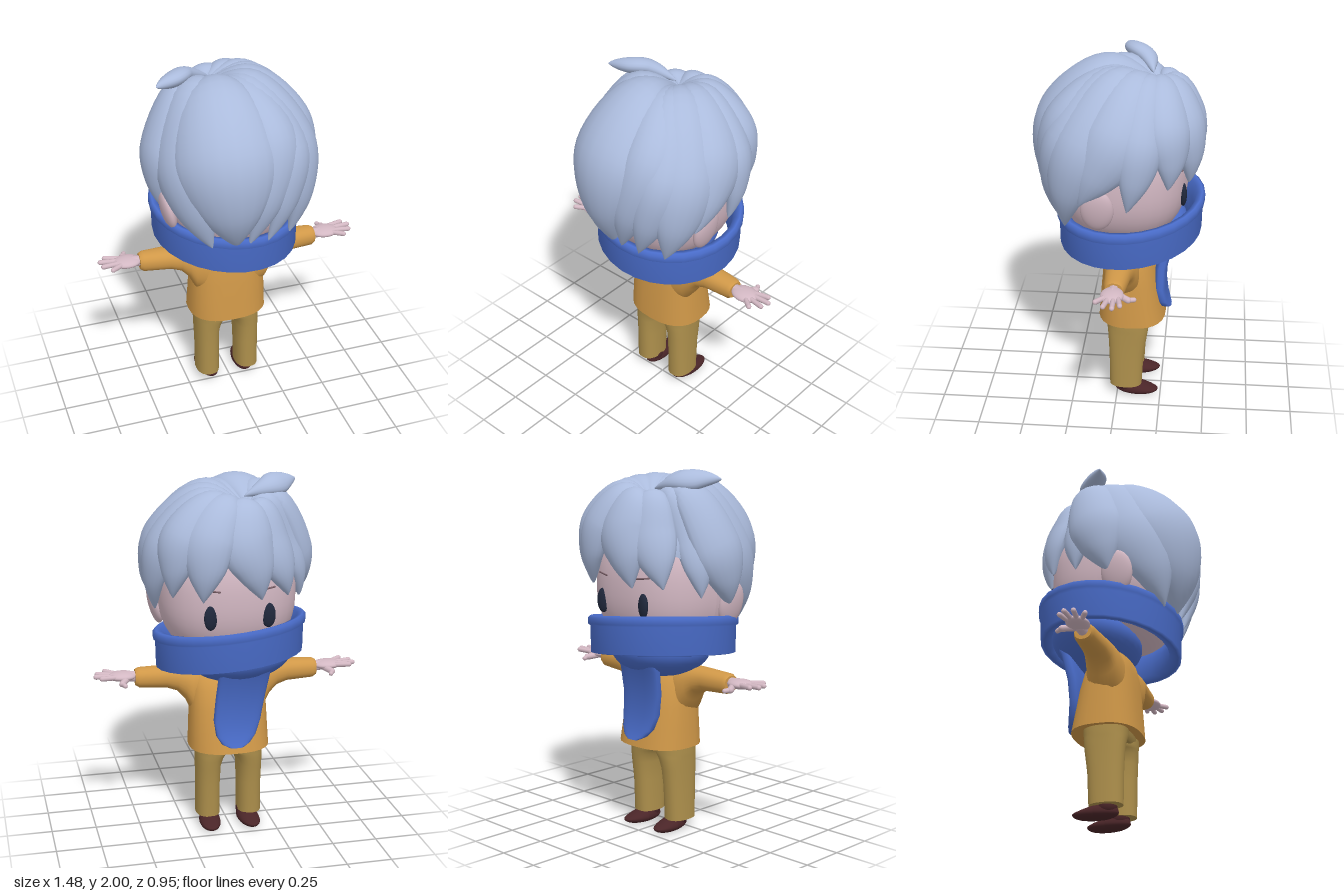
import * as THREE from 'three';

const V = (a) => new THREE.Vector3(...a);
const mat = (color) => new THREE.MeshStandardMaterial({ color, side: THREE.DoubleSide });
const HAIR = mat(0xabbbdc), SKIN = mat(0xd3b8c3), SCARF = mat(0x4a6dcb), SHIRT = mat(0xd09848);
const PANTS = mat(0xae904c), SHOE = mat(0x4a2528), EYE = mat(0x20283c), BROW = mat(0x7a6068);

function add(parent, name, geometry, material) {
  const m = new THREE.Mesh(geometry, material);
  m.name = name;
  parent.add(m);
  return m;
}

// Skin a surface over a list of equal-sized rings, with optional end caps.
function loft(rings, caps = true) {
  const n = rings[0].length, pos = [], idx = [];
  rings.forEach((r) => r.forEach((p) => pos.push(p.x, p.y, p.z)));
  for (let i = 0; i < rings.length - 1; i++)
    for (let j = 0; j < n; j++) {
      const a = i * n + j, b = i * n + ((j + 1) % n);
      idx.push(a, b, a + n, b, b + n, a + n);
    }
  if (caps)
    [rings[0], rings[rings.length - 1]].forEach((r, end) => {
      const base = pos.length / 3;
      const c = r.reduce((s, p) => s.add(p), new THREE.Vector3()).divideScalar(n);
      r.forEach((p) => pos.push(p.x, p.y, p.z));
      pos.push(c.x, c.y, c.z);
      for (let j = 0; j < n; j++) {
        const k = (j + 1) % n;
        idx.push(base + n, base + (end ? j : k), base + (end ? k : j));
      }
    });
  const g = new THREE.BufferGeometry();
  g.setAttribute('position', new THREE.Float32BufferAttribute(pos, 3));
  g.setIndex(idx);
  g.computeVertexNormals();
  return g;
}

// Rounded-square ring around c spanned by half-axes u and v.
function ring(c, u, v, power = 1, n = 28) {
  const s = (x) => Math.sign(x) * Math.abs(x) ** power;
  return Array.from({ length: n }, (_, j) => {
    const a = (j / n) * Math.PI * 2;
    return V(c).addScaledVector(V(u), s(Math.cos(a))).addScaledVector(V(v), s(Math.sin(a)));
  });
}
const flat = (x, y, z, rx, rz, power) => ring([x, y, z], [rx, 0, 0], [0, 0, -rz], power);

function ball(parent, name, p, r, material) {
  const m = add(parent, name, new THREE.SphereGeometry(1, 28, 20), material);
  m.position.set(...p);
  m.scale.set(...r);
  return m;
}

function rod(parent, name, a, b, r, material) {
  const d = V(b).sub(V(a));
  const m = add(parent, name, new THREE.CapsuleGeometry(r, d.length(), 4, 10), material);
  m.position.copy(V(a)).addScaledVector(d, 0.5);
  m.quaternion.setFromUnitVectors(new THREE.Vector3(0, 1, 0), d.normalize());
}

// Leaf-shaped lock following a path and bending around the skull.
function lock(points, width, thick) {
  const curve = new THREE.CatmullRomCurve3(points);
  const centre = new THREE.Vector3(0, 1.5, 0), rings = [];
  for (let i = 0; i <= 28; i++) {
    const t = 0.01 + 0.985 * (i / 28), p = curve.getPoint(t), T = curve.getTangent(t);
    const N = p.clone().sub(centre);
    N.addScaledVector(T, -N.dot(T)).normalize();
    const S = N.clone().cross(T), f = Math.sin(Math.PI * t ** 1.08);
    rings.push(Array.from({ length: 20 }, (_, j) => {
      const a = (j / 20) * Math.PI * 2, s = width * f * Math.cos(a);
      return p.clone().addScaledVector(S, s)
        .addScaledVector(N, thick * f ** 0.65 * Math.sin(a) - s * s);
    }));
  }
  return loft(rings);
}

function buildHead(g) {
  // Slightly squared skull
  const skull = new THREE.SphereGeometry(1, 40, 28), p = skull.attributes.position;
  for (let i = 0; i < p.count; i++) {
    const v = new THREE.Vector3().fromBufferAttribute(p, i);
    const d = (Math.abs(v.x) ** 2.4 + Math.abs(v.y) ** 2.4 + Math.abs(v.z) ** 2.4) ** (1 / 2.4);
    p.setXYZ(i, (v.x / d) * 0.375, (v.y / d) * 0.38, (v.z / d) * 0.355);
  }
  skull.computeVertexNormals();
  add(g, 'face', skull, SKIN).position.set(0, 1.38, -0.025);
  for (const s of [-1, 1]) {
    ball(g, 'ear', [s * 0.375, 1.29, 0.085], [0.038, 0.125, 0.088], SKIN).rotation.z = -s * 0.2;
    ball(g, 'eye', [s * 0.155, 1.3, -0.356], [0.038, 0.067, 0.02], EYE).rotation.y = s * 0.2;
    rod(g, 'eyebrow', [s * 0.11, 1.44, -0.369], [s * 0.19, 1.448, -0.347], 0.005, BROW);
  }
}

function buildHair(g) {
  const cap = add(g, 'hairCap', new THREE.SphereGeometry(1, 36, 20, 0, Math.PI * 2, 0, 0.58 * Math.PI), HAIR);
  cap.scale.set(0.395, 0.38, 0.4);
  cap.rotation.x = 0.5;
  cap.position.set(0, 1.53, 0);
  // Each lock rises from the crown, passes its bulge and swells outward before its tip.
  const crown = V([-0.07, 1.85, -0.21]);
  const addLock = (bulge, tip, width) => {
    const top = crown.clone().lerp(bulge, 0.5);
    top.y = 1.835 + 0.15 * Math.hypot(bulge.x - crown.x, bulge.z - crown.z);
    const low = bulge.clone().lerp(tip, 0.5);
    const swell = 1 + (0.18 * (bulge.y - tip.y) ** 2) / Math.hypot(low.x, low.z);
    low.x *= swell;
    low.z *= swell;
    add(g, 'hairLock', lock([crown, top, bulge, low, tip], width, 0.03 + 0.25 * width), HAIR);
  };
  const backLocks = [
    [-0.145, 1.68, 0.33, -0.06, 1.12, 0.31, 0.27],
    [-0.33, 1.6, 0.15, -0.19, 1.13, 0.3, 0.2],
    [0.17, 1.72, 0.3, 0, 1.13, 0.33, 0.14],
    [0.26, 1.65, 0.28, 0.11, 1.13, 0.32, 0.13],
    [0.33, 1.65, 0.18, 0.25, 1.13, 0.27, 0.17],
  ];
  const sideLocks = [
    [-0.4, 1.62, -0.04, -0.39, 1.28, 0.05, 0.16],
    [-0.32, 1.65, -0.14, -0.38, 1.34, -0.15, 0.11],
    [0.37, 1.7, -0.02, 0.38, 1.31, 0.18, 0.17],
    [0.38, 1.68, -0.15, 0.4, 1.29, -0.07, 0.12],
  ];
  const fringe = [
    [0.3, 1.73, -0.29, 0.34, 1.4, -0.28, 0.13],
    [0.17, 1.73, -0.375, 0.2, 1.39, -0.385, 0.14],
    [-0.03, 1.72, -0.385, -0.11, 1.39, -0.39, 0.15],
    [-0.18, 1.68, -0.32, -0.27, 1.39, -0.32, 0.13],
  ];
  for (const set of [backLocks, sideLocks, fringe])
    set.forEach((l) => addLock(V(l.slice(0, 3)), V(l.slice(3, 6)), l[6]));
  const tuft = [[-0.06, 1.9, -0.18], [-0.2, 1.945, -0.14], [-0.29, 1.955, -0.07], [-0.39, 1.955, -0.01]];
  add(g, 'hairTuft', lock(tuft.map(V), 0.075, 0.045), HAIR);
}

function buildScarf(g) {
  // Tilted band: outside going up, then inside going down
  const profile = [[-0.035, -0.105], [-0.015, -0.1], [-0.012, 0.05], [0, 0.06], [0, 0.095],
    [-0.015, 0.107], [-0.045, 0.1], [-0.065, 0.03], [-0.08, -0.09], [-0.035, -0.105]];
  const rings = profile.map(([dr, y]) => flat(-0.01, y + 1.095, -0.065, 0.42 + dr, 0.408 + dr));
  rings.flat().forEach((p) => { p.y -= 0.1 * p.x + 0.1 * (p.z + 0.06); });
  add(g, 'scarfBand', loft(rings, false), SCARF);
  ball(g, 'scarfInner', [-0.055, 1.03, -0.13], [0.29, 0.15, 0.25], SCARF).rotation.set(0.1, 0, -0.08);
  // Hanging end: centre and half width
  const tail = [[-0.05, 1.03, -0.32, 0.14], [-0.045, 0.94, -0.275, 0.14], [-0.03, 0.8, -0.243, 0.135],
    [-0.015, 0.68, -0.237, 0.13], [-0.005, 0.6, -0.25, 0.11], [0, 0.56, -0.263, 0.08], [0, 0.543, -0.27, 0.045]];
  add(g, 'scarfTail', loft(tail.map(([x, y, z, w]) => ring([x, y, z], [w, 0, 0], [0, 0.006, 0.033], 0.6))), SCARF);
}

function buildBody(g) {
  add(g, 'shirt', loft([
    flat(0, 0.49, -0.08, 0.225, 0.19, 0.8), flat(0, 0.6, -0.073, 0.22, 0.175, 0.8),
    flat(0, 0.72, -0.066, 0.215, 0.158, 0.8), flat(0, 0.83, -0.055, 0.21, 0.135, 0.8),
    flat(0, 0.91, -0.04, 0.2, 0.1, 0.8), flat(0, 0.955, -0.03, 0.17, 0.05, 0.8)]), SHIRT);
  const arms = new THREE.Group();
  arms.name = 'arms';
  arms.rotation.y = -0.04;
  arms.position.z = -0.035;
  g.add(arms);
  for (const s of [1, -1]) {
    const arm = new THREE.Group();
    arm.name = s > 0 ? 'leftArm' : 'rightArm';
    arm.scale.x = s;
    arms.add(arm);
    // Sleeve: x, bottom, top, half depth
    const sleeve = [[0.12, 0.64, 0.953, 0.1], [0.2, 0.68, 0.952, 0.1], [0.235, 0.755, 0.951, 0.09],
      [0.28, 0.805, 0.95, 0.08], [0.34, 0.826, 0.949, 0.07], [0.49, 0.835, 0.945, 0.057], [0.51, 0.848, 0.934, 0.048]];
    add(arm, 'sleeve', loft(sleeve.map(([x, lo, hi, d]) =>
      ring([x, (lo + hi) / 2, 0], [0, (hi - lo) / 2, 0], [0, 0, d], 0.9))), SHIRT);
    rod(arm, 'wrist', [0.48, 0.893, 0], [0.55, 0.9, 0], 0.03, SKIN);
    ball(arm, 'palm', [0.58, 0.903, 0], [0.08, 0.026, 0.062], SKIN);
    const fingers = [[-0.035, 0.695, -0.055], [-0.012, 0.725, -0.018], [0.012, 0.715, 0.03], [0.032, 0.67, 0.075]];
    fingers.forEach(([z, x, tip]) => rod(arm, 'finger', [0.61, 0.906, z], [x, 0.91, tip], 0.014, SKIN));
    rod(arm, 'thumb', [0.555, 0.895, -0.03], [0.588, 0.885, -0.085], 0.018, SKIN);
    rod(arm, 'thumbTip', [0.588, 0.885, -0.085], [0.575, 0.882, -0.115], 0.013, SKIN);
  }
}

function buildLegs(g) {
  add(g, 'hips', loft([flat(0, 0.452, -0.06, 0.13, 0.1, 0.8), flat(0, 0.475, -0.06, 0.185, 0.12, 0.8),
    flat(0, 0.6, -0.06, 0.19, 0.13, 0.8)]), PANTS);
  // Trouser leg: x, y, z, half width, half depth
  const leg = [[0.12, 0.065, -0.05, 0.067, 0.092], [0.119, 0.25, -0.053, 0.067, 0.098],
    [0.118, 0.36, -0.058, 0.07, 0.108], [0.111, 0.41, -0.06, 0.078, 0.114],
    [0.103, 0.435, -0.06, 0.087, 0.117], [0.095, 0.455, -0.06, 0.096, 0.119], [0.095, 0.5, -0.06, 0.096, 0.122]];
  for (const s of [1, -1]) {
    add(g, 'trouserLeg', loft(leg.map(([x, y, z, w, d]) => flat(s * x - 0.006, y, z, w, d, 0.85))), PANTS);
    // Shoe: flattened sole, lower towards the toe
    const shoe = new THREE.SphereGeometry(1, 24, 16), p = shoe.attributes.position;
    for (let i = 0; i < p.count; i++) {
      const y = p.getY(i), z = p.getZ(i);
      p.setXYZ(i, p.getX(i) * 0.06, y < 0 ? Math.max(y, -0.8) * 0.035 : y * (0.045 + 0.03 * z), z * 0.125);
    }
    shoe.computeVertexNormals();
    const m = add(g, 'shoe', shoe, SHOE);
    m.position.set(s * 0.112, 0.03, -0.112);
    m.rotation.y = -s * 0.08;
    ball(g, 'heel', [s * 0.11, 0.06, -0.05], [0.055, 0.05, 0.055], SHOE);
  }
}

export function createModel() {
  const g = new THREE.Group();
  g.name = 'figure';
  for (const build of [buildHead, buildHair, buildScarf, buildBody, buildLegs]) build(g);
  return g;
}
